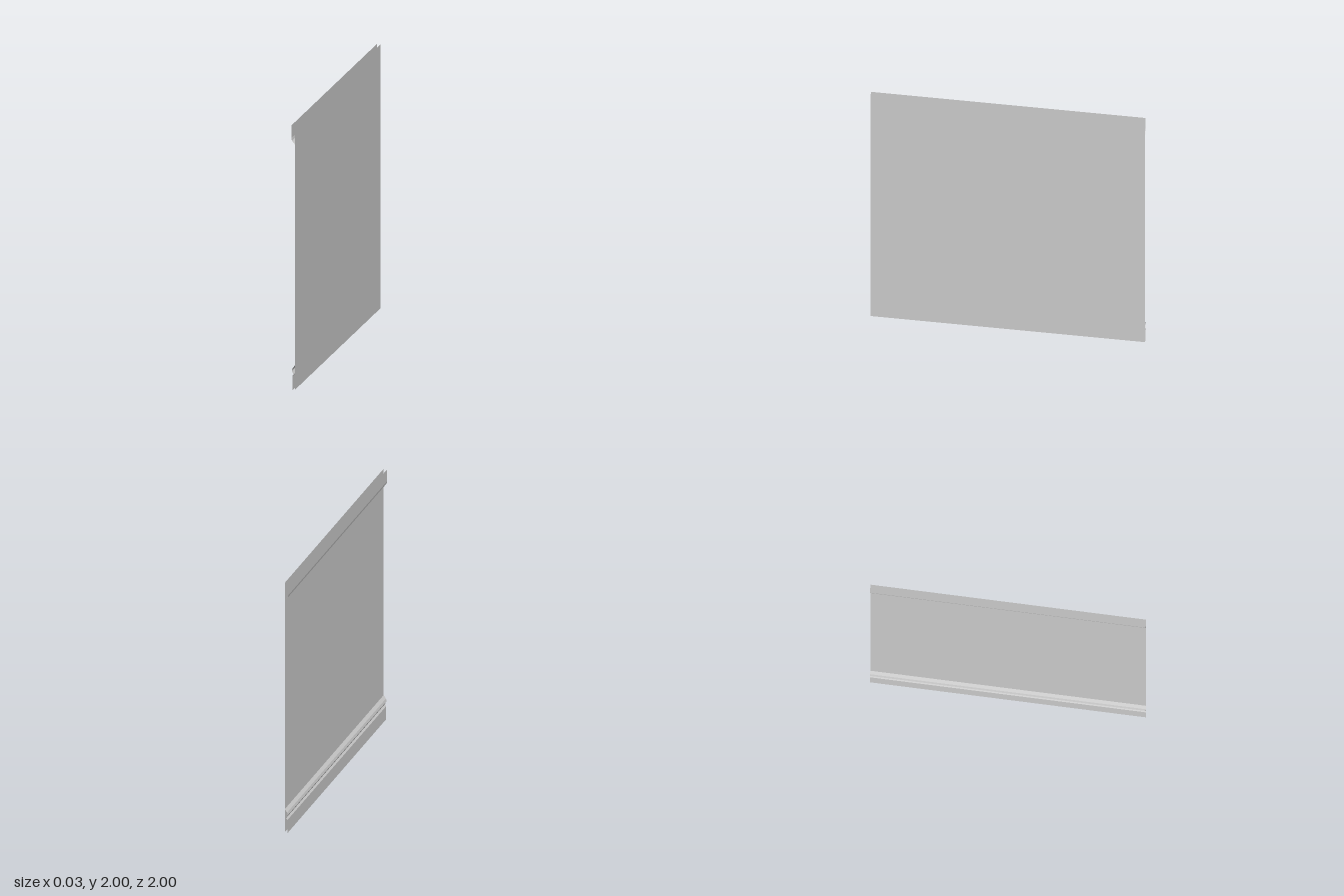
import * as THREE from 'three';

const material = new THREE.MeshStandardMaterial({ color: 0xcccccc, side: THREE.DoubleSide, flatShading: true });

// Sweeps an open [x, y] profile along z as a folded sheet without thickness
function foldedSheet(name, profile, length = 2) {
  const positions = [];
  const h = length / 2;
  for (let i = 0; i < profile.length - 1; i++) {
    const [x0, y0] = profile[i];
    const [x1, y1] = profile[i + 1];
    positions.push(x0, y0, h, x0, y0, -h, x1, y1, -h);
    positions.push(x0, y0, h, x1, y1, -h, x1, y1, h);
  }
  const geometry = new THREE.BufferGeometry();
  geometry.setAttribute('position', new THREE.Float32BufferAttribute(positions, 3));
  geometry.computeVertexNormals();
  const mesh = new THREE.Mesh(geometry, material);
  mesh.name = name;
  return mesh;
}

export function createModel() {
  const group = new THREE.Group();
  group.name = 'claddingPanel';
  const face = 0.0135;

  // Flat outer face
  group.add(foldedSheet('panelFace', [[face, 2], [face, 0.005]]));

  // Upper flange, folding back to the face and open at the top
  group.add(foldedSheet('upperFlange', [
    [-0.0135, 2], [-0.0135, 1.905], [-0.009, 1.885], [face, 1.86],
  ]));

  // Lower flange with a ridge above it, open at the bottom
  group.add(foldedSheet('lowerFlange', [
    [face, 0.19], [-0.004, 0.165], [-0.01, 0.145], [0.004, 0.12],
    [-0.006, 0.105], [-0.006, 0],
  ]));

  return group;
}
